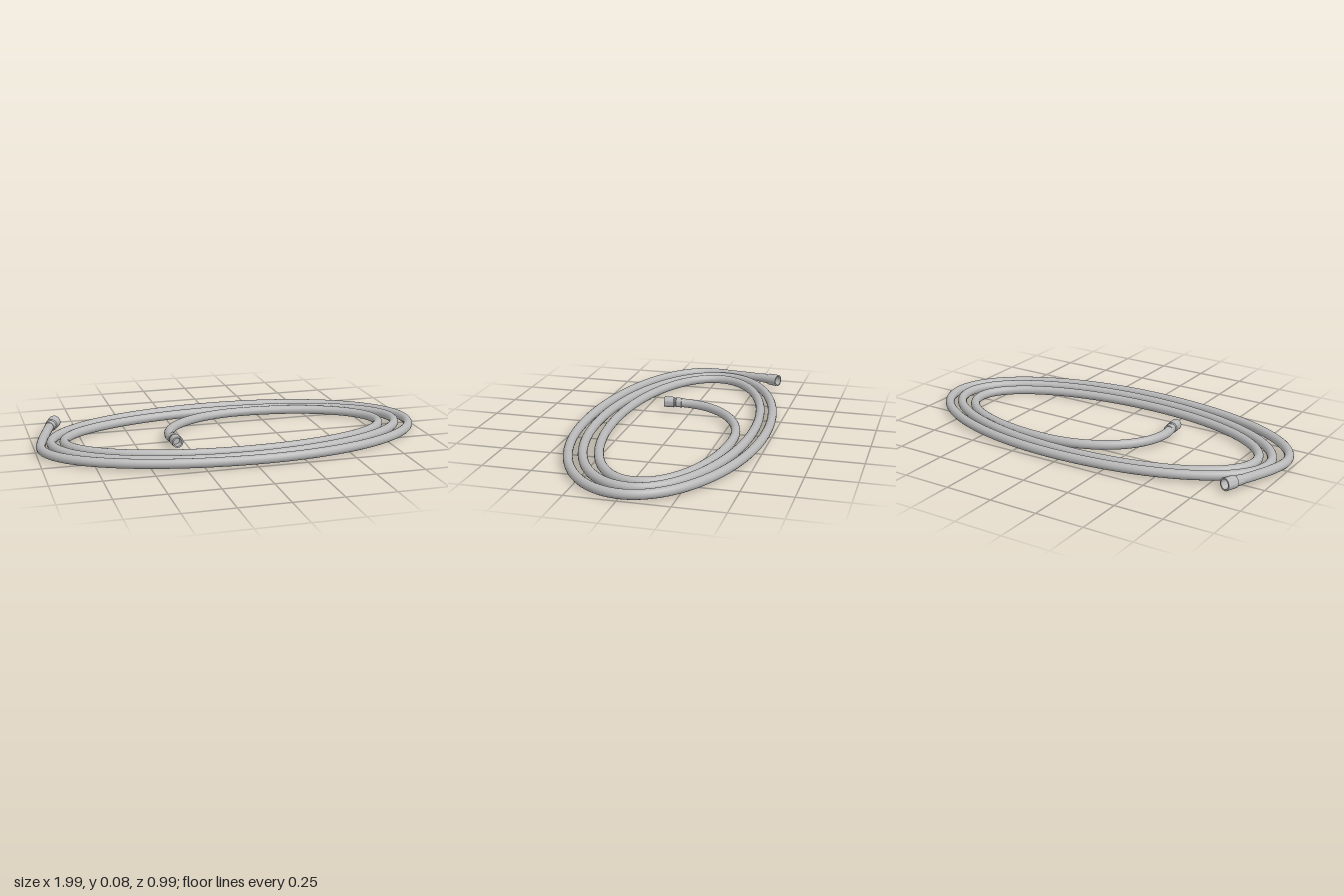
import * as THREE from 'three';
import { toCreasedNormals } from 'three/addons/utils/BufferGeometryUtils.js';

const HOSE_RADIUS = 0.0235;

// Hose path: extreme points of the coil, alternating side (x extreme) and end (z extreme)
const EXTREMES = [
  [-0.325, 0.03], [0.17, -0.335], [0.815, -0.02], [-0.02, 0.325],
  [-0.85, -0.04], [0.02, -0.405], [0.9, -0.02], [-0.01, 0.405],
  [-0.915, -0.04], [0.05, -0.475], [0.972, -0.01], [0.03, 0.47], [-0.975, 0.03],
];

function hosePath() {
  const points = [new THREE.Vector3(-0.317, 0.042, 0.09)];
  const steps = 8;
  for (let i = 0; i < EXTREMES.length - 1; i++) {
    const a = EXTREMES[i], b = EXTREMES[i + 1];
    // each quarter turn is an elliptical arc between two extremes
    const side = i % 2 === 0 ? a : b, end = i % 2 === 0 ? b : a;
    const cx = end[0], cz = side[1];
    for (let s = 0; s < steps; s++) {
      const t = s / steps;
      const angle = (i % 2 === 0 ? t : 1 - t) * Math.PI / 2;
      const lift = i === 0 ? 0.011 * (1 - t) ** 2 : 0;
      const wave = 0.003 * Math.sin((i + t) * 2.3);
      points.push(new THREE.Vector3(
        cx + (side[0] - cx) * Math.cos(angle),
        0.0268 + wave + lift,
        cz + (end[1] - cz) * Math.sin(angle)));
    }
  }
  // free tail leaving the coil
  for (const [x, y, z] of [[-0.975, 0.029, 0.03], [-0.957, 0.031, -0.08],
    [-0.925, 0.037, -0.19], [-0.892, 0.043, -0.29]]) {
    points.push(new THREE.Vector3(x, y, z));
  }
  return new THREE.CatmullRomCurve3(points);
}

// Turned hollow fitting; profile is [radius, distance along the axis]
function fitting(name, profile, from, to, material) {
  const lathe = new THREE.LatheGeometry(profile.map(([r, d]) => new THREE.Vector2(r, d)), 24);
  const mesh = new THREE.Mesh(toCreasedNormals(lathe, 0.6), material);
  const direction = new THREE.Vector3().subVectors(to, from).normalize();
  mesh.quaternion.setFromUnitVectors(new THREE.Vector3(0, 1, 0), direction);
  mesh.position.copy(from);
  mesh.name = name;
  return mesh;
}

export function createModel() {
  const model = new THREE.Group();
  model.name = 'coiledHose';
  const grey = new THREE.MeshStandardMaterial({ color: 0xb8b8b8 });
  grey.name = 'hose grey';
  grey.side = THREE.DoubleSide;

  // Coiled hose
  const hose = new THREE.Mesh(new THREE.TubeGeometry(hosePath(), 420, HOSE_RADIUS, 16), grey);
  hose.name = 'hose';
  model.add(hose);

  // Small coupling on the inner end: collar, groove and sleeve
  model.add(fitting('innerCoupling', [
    [0.02, 0], [0.026, 0], [0.026, 0.028], [0.023, 0.032], [0.023, 0.038],
    [0.0285, 0.042], [0.0285, 0.094], [0.021, 0.094], [0.019, 0.06], [0, 0.06],
  ], new THREE.Vector3(-0.319, 0.041, 0.055), new THREE.Vector3(-0.312, 0.042, 0.149), grey));

  // Flared nut on the outer end
  model.add(fitting('outerNut', [
    [0.02, 0], [0.0255, 0], [0.0255, 0.034], [0.031, 0.038],
    [0.0325, 0.098], [0.025, 0.098], [0.023, 0.055], [0, 0.055],
  ], new THREE.Vector3(-0.894, 0.042, -0.283), new THREE.Vector3(-0.854, 0.044, -0.375), grey));

  return model;
}
